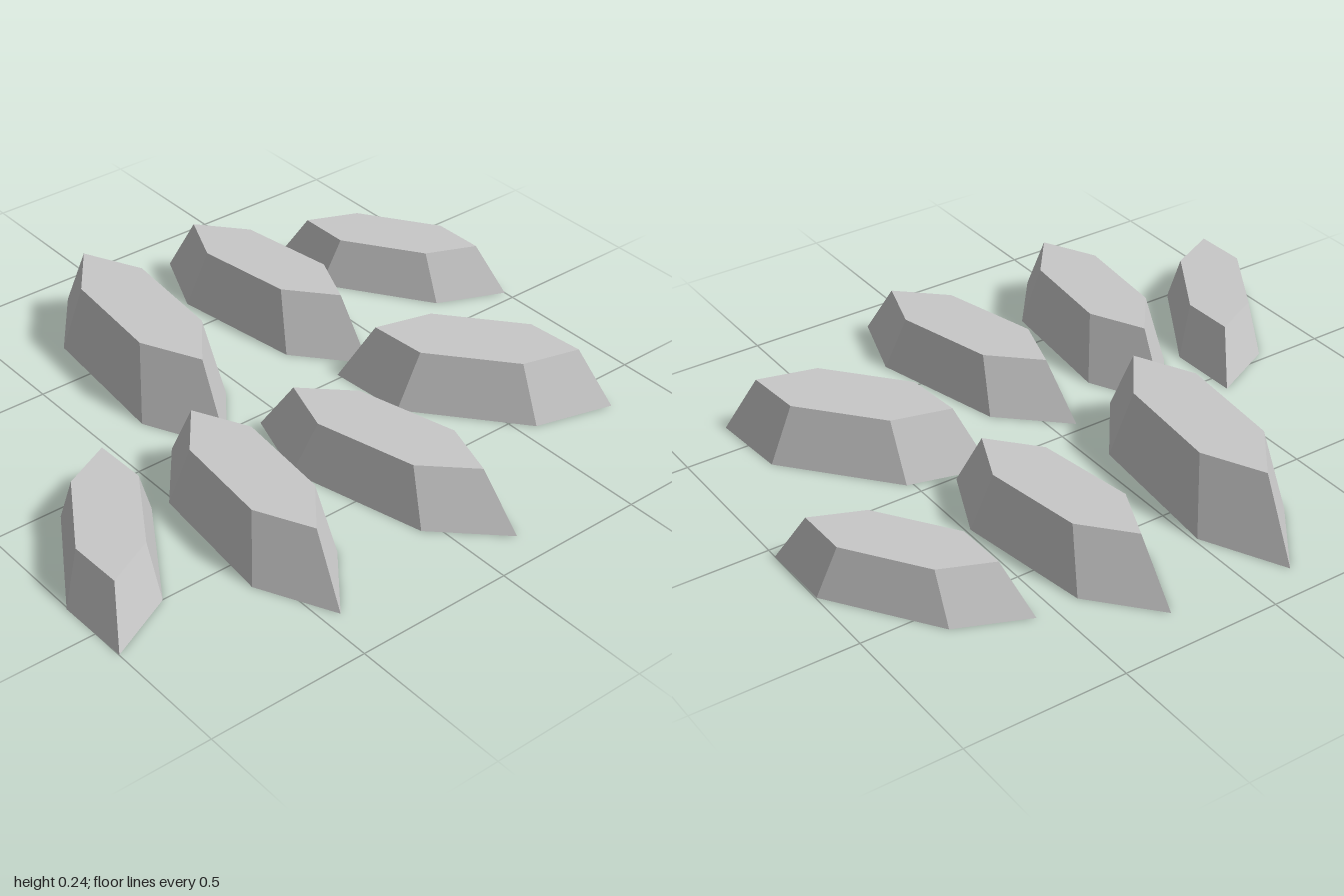
import * as THREE from 'three';

// Each stone: centre [x, z], vector to its front tip, vector to the middle
// of its long side, and height
const STONES = [
  { name: 'stoneBackRight', centre: [-0.183, -0.415], tip: [-0.047, 0.485], side: [0.148, 0.013], height: 0.24 },
  { name: 'stoneBackCentre', centre: [0.318, -0.437], tip: [0.065, 0.431], side: [0.136, -0.02], height: 0.2 },
  { name: 'stoneBackLeft', centre: [0.78, -0.357], tip: [0.22, 0.321], side: [0.107, -0.068], height: 0.16 },
  { name: 'stoneFrontFarRight', centre: [-0.788, 0.266], tip: [-0.211, 0.34], side: [0.111, 0.065], height: 0.16 },
  { name: 'stoneFrontRight', centre: [-0.403, 0.406], tip: [-0.044, 0.436], side: [0.138, 0.015], height: 0.21 },
  { name: 'stoneFrontCentre', centre: [0.036, 0.466], tip: [0.111, 0.434], side: [0.137, -0.033], height: 0.18 },
  { name: 'stoneFrontLeft', centre: [0.538, 0.305], tip: [0.27, 0.322], side: [0.116, -0.095], height: 0.19 },
];

const TOP_SCALE = 0.73;

// A six-sided tapered block, stretched and skewed onto its tip and side vectors
function makeStone({ name, centre, tip, side, height }, material) {
  const geometry = new THREE.CylinderGeometry(TOP_SCALE, 1, 1, 6);
  const k = 1 / Math.sin(Math.PI / 3);
  const matrix = new THREE.Matrix4().makeBasis(
    new THREE.Vector3(side[0] * k, 0, side[1] * k),
    new THREE.Vector3(0, height, 0),
    new THREE.Vector3(tip[0], 0, tip[1]),
  );
  matrix.setPosition(centre[0], height / 2, centre[1]);
  geometry.applyMatrix4(matrix);
  const mesh = new THREE.Mesh(geometry, material);
  mesh.name = name;
  return mesh;
}

export function createModel() {
  const stone = new THREE.MeshStandardMaterial({ color: 0xc8c8c8, flatShading: true });
  stone.name = 'stoneGrey';
  const group = new THREE.Group();
  group.name = 'stones';
  for (const spec of STONES) group.add(makeStone(spec, stone));
  return group;
}
